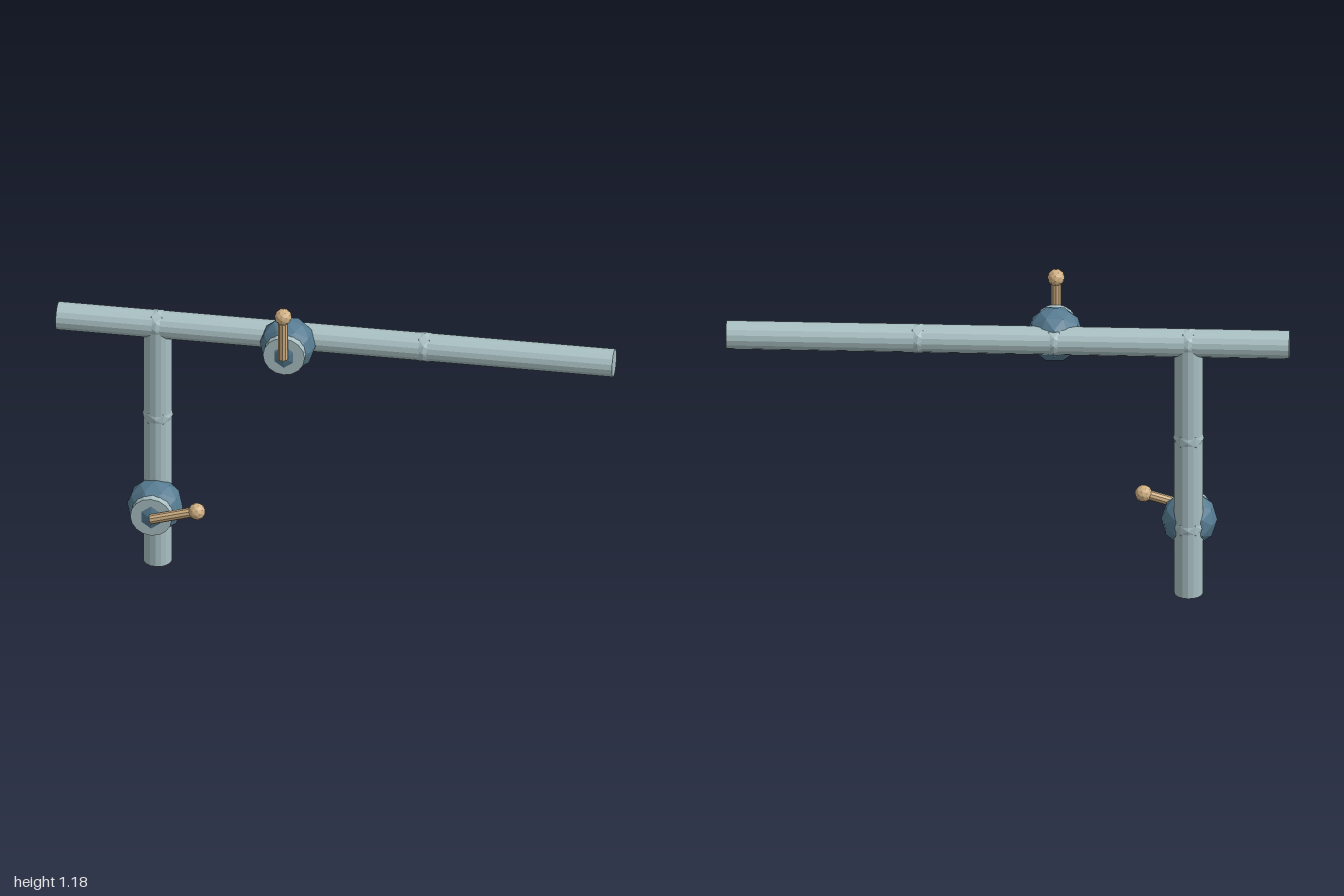
import * as THREE from 'three';

const pipeMat = new THREE.MeshStandardMaterial({ color: 0xa9c0c3 });
pipeMat.name = 'pale pipe metal';
const bodyMat = new THREE.MeshStandardMaterial({ color: 0x567b91 });
bodyMat.name = 'blue valve paint';
const handleMat = new THREE.MeshStandardMaterial({ color: 0xd0b083 });
handleMat.name = 'tan handle';
for (const m of [pipeMat, bodyMat, handleMat]) m.flatShading = true;

const PIPE_Z = -0.066, PIPE_Y = 0.979, PIPE_R = 0.051;
const RISER_X = -0.641;

function add(parent, name, geometry, material, x = 0, y = 0, z = 0) {
  const mesh = new THREE.Mesh(geometry, material);
  mesh.name = name;
  mesh.position.set(x, y, z);
  parent.add(mesh);
  return mesh;
}

// Faceted valve body, front flange and lever; turn spins the lever about z
function makeValve(name, x, y, turn) {
  const valve = new THREE.Group();
  valve.name = name;
  valve.position.set(x, y, -0.007);
  add(valve, 'valveBody', new THREE.IcosahedronGeometry(0.1, 1), bodyMat);
  const flange = new THREE.CylinderGeometry(0.075, 0.075, 0.05, 16).rotateX(Math.PI / 2);
  add(valve, 'flange', flange, pipeMat, 0, 0, 0.062);

  const lever = new THREE.Group();
  lever.name = 'lever';
  lever.position.z = 0.1;
  lever.rotation.z = turn;
  add(lever, 'leverRod', new THREE.CylinderGeometry(0.018, 0.018, 0.174, 10), handleMat, 0, 0.087, 0);
  add(lever, 'leverKnob', new THREE.IcosahedronGeometry(0.031, 1), handleMat, 0, 0.174, 0);
  valve.add(lever);
  return valve;
}

export function createModel() {
  const model = new THREE.Group();
  model.name = 'pipework';

  // Long crossbar and the riser below it
  const bar = new THREE.CylinderGeometry(PIPE_R, PIPE_R, 2, 16).rotateZ(Math.PI / 2);
  add(model, 'horizontalPipe', bar, pipeMat, 0, PIPE_Y, PIPE_Z);
  add(model, 'verticalPipe', new THREE.CylinderGeometry(PIPE_R, PIPE_R, PIPE_Y, 16), pipeMat,
    RISER_X, PIPE_Y / 2, PIPE_Z);

  // Joint beads that just break through the pipe surface
  const joints = [[RISER_X, 0.263], [RISER_X, 0.609], [RISER_X, PIPE_Y], [-0.164, PIPE_Y], [0.32, PIPE_Y]];
  for (const [x, y] of joints) {
    add(model, 'pipeJoint', new THREE.IcosahedronGeometry(0.055, 1), pipeMat, x, y, PIPE_Z);
  }

  model.add(makeValve('upperValve', -0.164, 0.978, 0));
  model.add(makeValve('lowerValve', RISER_X, 0.262, -1.28));
  return model;
}
